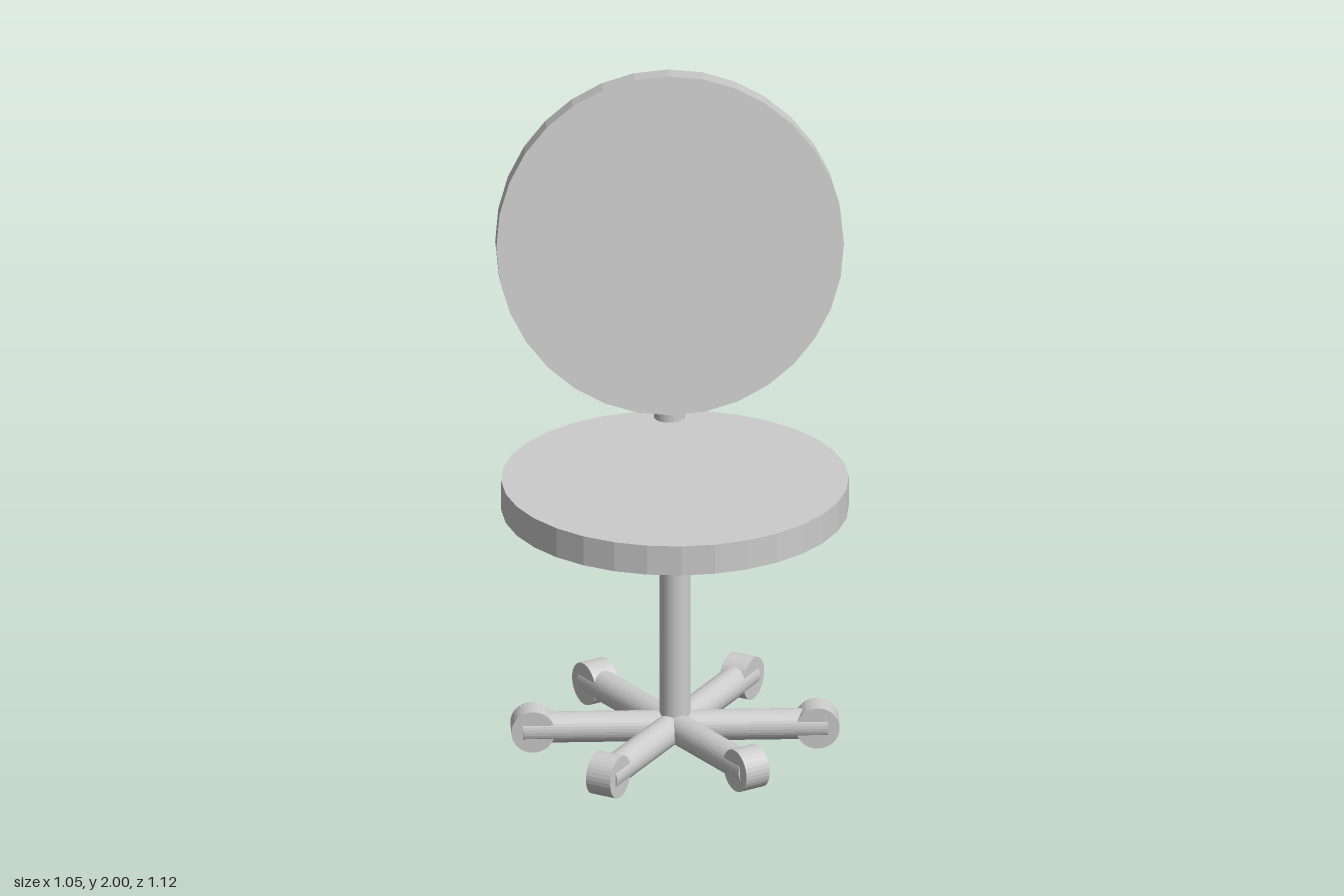
import * as THREE from 'three';

const material = new THREE.MeshStandardMaterial({ color: 0xcccccc, flatShading: true });
const SIDES = 32;
const TUBE = 0.047; // radius of posts and legs

// Upright cylinder between two heights
function upright(name, radius, y0, y1, z) {
  const mesh = new THREE.Mesh(new THREE.CylinderGeometry(radius, radius, y1 - y0, SIDES), material);
  mesh.name = name;
  mesh.position.set(0, (y0 + y1) / 2, z);
  return mesh;
}

// Straight leg bar through the hub with a wheel near each end
function legBar(yaw, tilt, x, z) {
  const bar = new THREE.Group();
  bar.name = 'legBar';
  const leg = new THREE.Mesh(new THREE.CylinderGeometry(TUBE, TUBE, 0.92, SIDES), material);
  leg.name = 'leg';
  leg.rotation.z = Math.PI / 2;
  bar.add(leg);
  for (const side of [-1, 1]) {
    const wheel = new THREE.Mesh(new THREE.CylinderGeometry(0.066, 0.066, 0.083, SIDES), material);
    wheel.name = 'wheel';
    wheel.rotation.x = Math.PI / 2;
    wheel.position.x = side * 0.43;
    bar.add(wheel);
  }
  bar.rotation.set(0, yaw, tilt);
  bar.position.set(x, 0.085, z);
  return bar;
}

export function createModel() {
  const chair = new THREE.Group();
  chair.name = 'swivelChair';

  // Seat and its supports
  chair.add(upright('seat', 0.525, 0.8, 0.895, 0.032));
  chair.add(upright('centrePost', TUBE, 0.085, 0.82, 0.032));
  chair.add(upright('backPost', TUBE, 0.85, 1.56, -0.443));

  // Round backrest leaning backwards
  const back = new THREE.Mesh(new THREE.CylinderGeometry(0.525, 0.525, 0.095, SIDES), material);
  back.name = 'backrest';
  back.rotation.x = Math.PI / 2 - THREE.MathUtils.degToRad(10);
  back.position.set(0, 1.476, -0.4215);
  chair.add(back);

  // Three crossed bars make six legs; one bar is slightly tilted
  chair.add(legBar(0, 0, 0, 0.032));
  chair.add(legBar(Math.PI / 3, 0, 0, 0.032));
  chair.add(legBar(-Math.PI / 3, 0.03, -0.012, 0.026));

  return chair;
}
